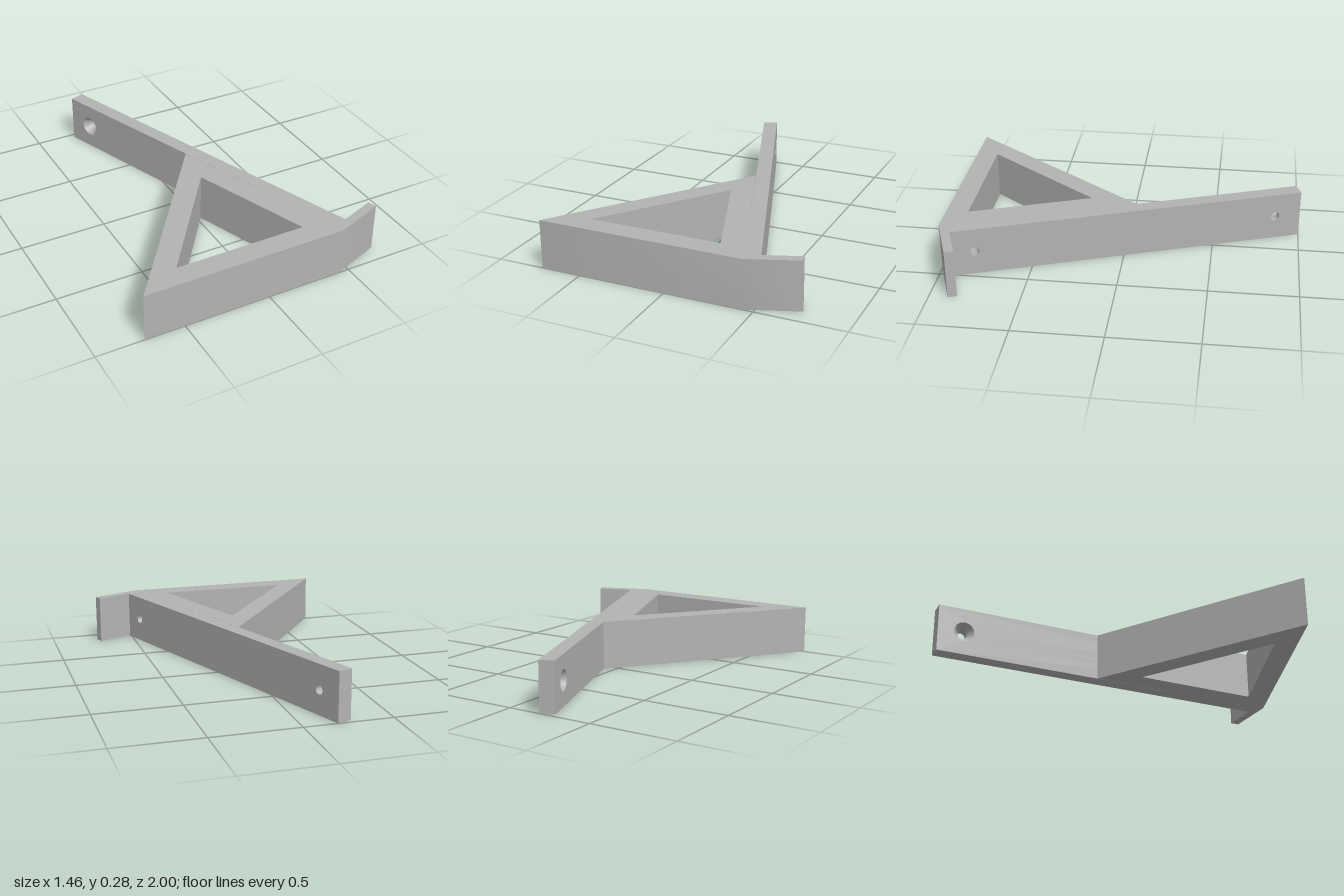
import * as THREE from 'three';
import { toCreasedNormals } from 'three/addons/utils/BufferGeometryUtils.js';

const HEIGHT = 0.28;
const ARM_LENGTH = 2.044;
const ARM_THICK = 0.085;
const SINK_DEPTH = 0.045;
const HOLE_R = 0.027;
const SINK_R = 0.058;
const NEAR_HOLE = 0.128;
const FAR_HOLE = 1.89;

const plan = (points) => points.map(([x, z]) => new THREE.Vector2(x, -z));

function circleHole(x, radius) {
  const path = new THREE.Path();
  path.absarc(x, HEIGHT / 2, radius, 0, Math.PI * 2, true);
  return path;
}

// One layer of the arm, with its two screw holes, extruded along its thickness
function armLayer(name, material, zStart, depth, farRadius) {
  const shape = new THREE.Shape(plan([[0, 0], [ARM_LENGTH, 0], [ARM_LENGTH, -HEIGHT], [0, -HEIGHT]]));
  shape.holes.push(circleHole(NEAR_HOLE, HOLE_R), circleHole(FAR_HOLE, farRadius));
  const geometry = new THREE.ExtrudeGeometry(shape, { depth, bevelEnabled: false, curveSegments: 24 });
  geometry.translate(0, 0, zStart);
  const mesh = new THREE.Mesh(toCreasedNormals(geometry, 0.5), material);
  mesh.name = name;
  return mesh;
}

export function createModel() {
  const model = new THREE.Group();
  model.name = 'angledBracket';
  const grey = new THREE.MeshStandardMaterial({ color: 0xb3b3b3, side: THREE.DoubleSide });
  grey.name = 'grey';

  // Triangular frame with the short angled tab at its front corner
  const outline = new THREE.Shape(plan([
    [-0.73, 1], [0.44, 1], [0.728, 0.895], [0.711, 0.847],
    [0.51, 0.92], [0.43, 0.949], [0.062, -0.058],
  ]));
  outline.holes.push(new THREE.Path(plan([[0.022, 0.203], [0.268, 0.875], [-0.485, 0.875]])));
  const frameGeometry = new THREE.ExtrudeGeometry(outline, { depth: HEIGHT, bevelEnabled: false });
  frameGeometry.rotateX(-Math.PI / 2);
  const frame = new THREE.Mesh(toCreasedNormals(frameGeometry, 0.5), grey);
  frame.name = 'triangularFrame';
  model.add(frame);

  // Long mounting arm: local x runs along it, local z points out of its mounting face
  const arm = new THREE.Group();
  arm.name = 'mountingArm';
  arm.position.set(0.51, 0, 0.92);
  arm.rotation.y = THREE.MathUtils.degToRad(110);
  arm.add(
    armLayer('armOuterLayer', grey, SINK_DEPTH - ARM_THICK, ARM_THICK - SINK_DEPTH, HOLE_R),
    armLayer('armInnerLayer', grey, -ARM_THICK, SINK_DEPTH, SINK_R),
  );

  // Conical countersink of the far screw hole
  const coneGeometry = new THREE.CylinderGeometry(HOLE_R, SINK_R, SINK_DEPTH, 48, 1, true);
  coneGeometry.rotateX(Math.PI / 2);
  const countersink = new THREE.Mesh(coneGeometry, grey);
  countersink.name = 'countersink';
  countersink.position.set(FAR_HOLE, HEIGHT / 2, SINK_DEPTH / 2 - ARM_THICK);
  arm.add(countersink);
  model.add(arm);

  return model;
}
